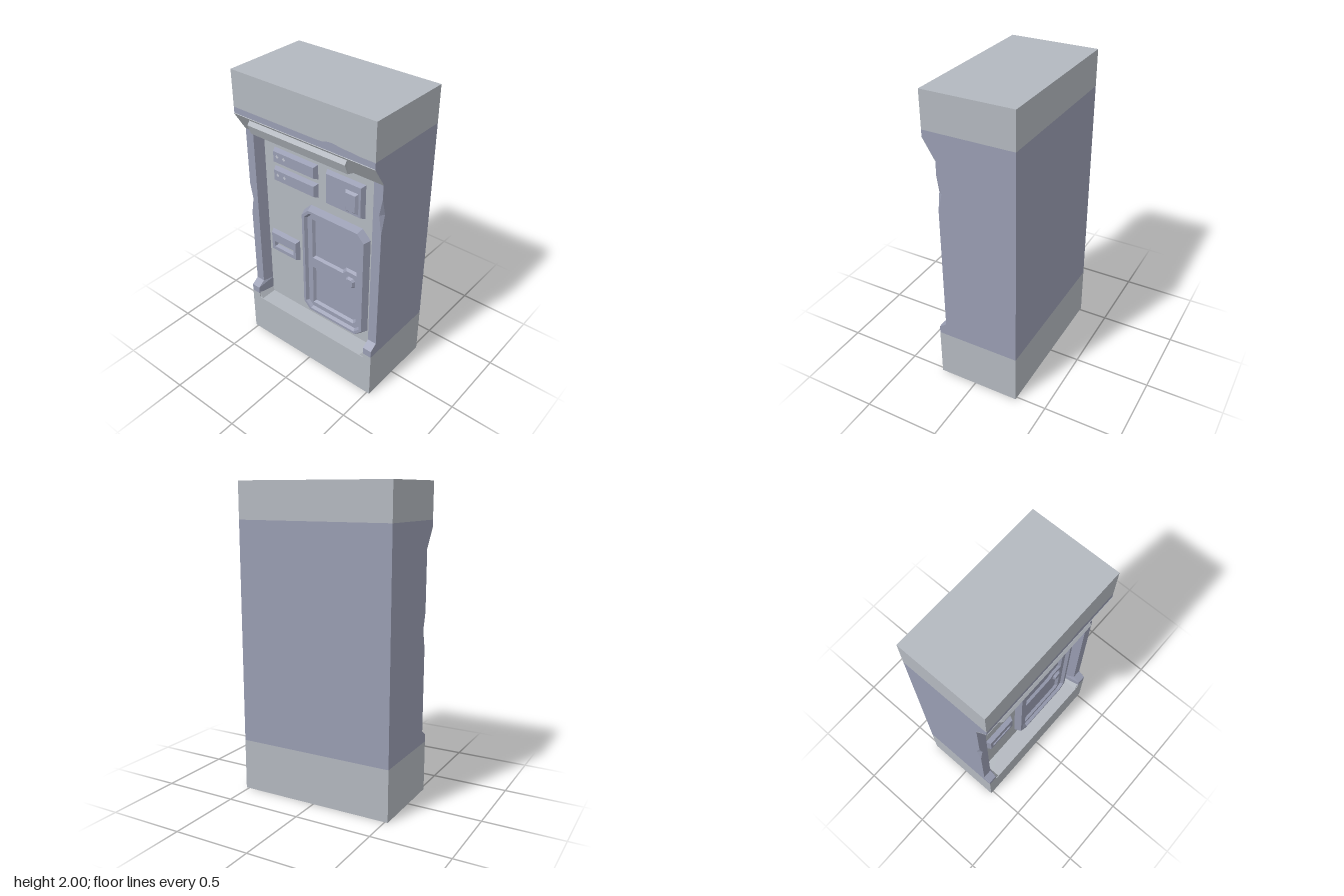
import * as THREE from 'three';

const mat = (name, color) => Object.assign(new THREE.MeshStandardMaterial({ color }), { name });

// Skin between successive loops of [x, y, z]; optionally close the last loop (planar in xy)
function loft(loops, cap = false, holes = []) {
  const p = [];
  for (let k = 0; k + 1 < loops.length; k++) {
    const a = loops[k], b = loops[k + 1];
    for (let i = 0; i < a.length; i++) {
      const j = (i + 1) % a.length;
      p.push(...a[i], ...a[j], ...b[j], ...a[i], ...b[j], ...b[i]);
    }
  }
  if (cap) {
    const last = loops[loops.length - 1];
    const v2 = (l) => l.map(([x, y]) => new THREE.Vector2(x, y));
    const shape = new THREE.Shape(v2(last));
    holes.forEach((h) => shape.holes.push(new THREE.Path(v2(h))));
    const g = new THREE.ShapeGeometry(shape).toNonIndexed();
    const q = g.attributes.position;
    for (let i = 0; i < q.count; i++) p.push(q.getX(i), q.getY(i), last[0][2]);
  }
  const g = new THREE.BufferGeometry();
  g.setAttribute('position', new THREE.Float32BufferAttribute(p, 3));
  g.computeVertexNormals();
  return g;
}

// Counter-clockwise outlines in the front plane
const rect = (x0, x1, y0, y1, z, d = 0) =>
  [[x0 + d, y0 + d, z], [x1 - d, y0 + d, z], [x1 - d, y1 - d, z], [x0 + d, y1 - d, z]];
function octagon(x0, x1, y0, y1, c, z, d = 0) {
  x0 += d; x1 -= d; y0 += d; y1 -= d; c -= d * 0.5;
  return [[x0 + c, y0], [x1 - c, y0], [x1, y0 + c], [x1, y1 - c],
    [x1 - c, y1], [x0 + c, y1], [x0, y1 - c], [x0, y0 + c]].map(([x, y]) => [x, y, z]);
}

export function createModel() {
  const grey = mat('lightGrey', 0xb3b8bf);
  const blue = mat('blueGrey', 0x999db2);
  const pale = mat('paleMark', 0xc0c4d0);
  const root = new THREE.Group();
  const add = (name, geo, m) => {
    const mesh = new THREE.Mesh(geo, m);
    mesh.name = name;
    root.add(mesh);
    return mesh;
  };
  const box = (name, x0, x1, y0, y1, z0, z1, m) =>
    add(name, new THREE.BoxGeometry(x1 - x0, y1 - y0, z1 - z0), m)
      .position.set((x0 + x1) / 2, (y0 + y1) / 2, (z0 + z1) / 2);
  // Side profile of [z, y] points swept from x0 to x1
  const sweep = (name, pts, x0, x1, m) => {
    const s = new THREE.Shape(pts.map(([z, y]) => new THREE.Vector2(-z, y)));
    const g = new THREE.ExtrudeGeometry(s, { depth: x1 - x0, bevelEnabled: false });
    g.rotateY(Math.PI / 2).translate(x0, 0, 0);
    return add(name, g, m);
  };
  const W = 0.52, P = 0.135;

  // Main masses
  box('base', -W, W, 0, 0.3, -0.3, 0.255, grey);
  box('baseRear', -W, W, 0.3, 0.335, -0.3, 0.13, grey);
  box('midBody', -W, W, 0.335, 1.765, -0.3, 0.13, blue);
  box('topBlock', -W, W, 1.765, 2, -0.3, 0.285, grey);
  box('frontPanel', -0.437, 0.437, 0.3, 1.575, 0.128, P, grey);

  // Overhanging header with a grey sloped underside
  sweep('header', [[0.13, 1.57], [0.205, 1.595], [0.285, 1.725], [0.285, 1.765], [0.13, 1.765]], -W, W, blue);
  sweep('headerSlope', [[0.203, 1.597], [0.207, 1.594], [0.288, 1.724], [0.284, 1.727]], -W, W, grey);
  const worn = new THREE.Shape([[0.1, 1.764], [0.44, 1.764], [0.36, 1.771], [0.3, 1.773], [0.23, 1.782], [0.19, 1.778], [0.16, 1.768]]
    .map(([x, y]) => new THREE.Vector2(x, y)));
  add('wornEdge', new THREE.ShapeGeometry(worn), blue).position.z = 0.286;

  // Lamp bar hanging below the header
  const lamp = sweep('lampBar', [[0.215, 1.61], [0.272, 1.62], [0.297, 1.685], [0.275, 1.715]], -0.42, 0.34, grey);
  const lp = lamp.geometry.attributes.position;
  for (let i = 0; i < lp.count; i++)
    if (lp.getZ(i) > 0.25) lp.setX(i, lp.getX(i) + (lp.getX(i) < 0 ? 0.017 : -0.012));
  lamp.geometry.computeVertexNormals();

  // Side posts with tapered inner walls and a chipped outer edge
  for (const [s, chipY] of [[1, 1.39], [-1, 1.09]]) {
    const rows = [[0.335, 0.255], [0.385, 0.255], [0.42, 0.205], [chipY - 0.12, 0.205],
      [chipY, 0.205, 0.02], [chipY + 0.11, 0.205], [1.6, 0.205]];
    const loops = rows.map(([y, z, c = 0.0005]) => {
      const l = [[0.435, 0.13], [0.458, z], [W - c, z], [W, z - c * 1.4], [W, 0.13]].map(([x, d]) => [s * x, y, d]);
      return s > 0 ? l : l.reverse();
    });
    const side = s > 0 ? 'left' : 'right';
    add(side + 'Post', loft(loops), blue);
    box(side + 'PostFoot', s > 0 ? 0.455 : -W, s > 0 ? W : -0.455, 0.3, 0.335, 0.13, 0.255, grey);
    // Chamfer filling the lower recess corner
    const tri = [[s * 0.43, 0.3], [s * 0.462, 0.3], [s * 0.458, 0.345]];
    if (s < 0) tri.reverse();
    add(side + 'CornerWedge', loft([0.13, 0.25].map((z) => tri.map(([x, y]) => [x, y, z])), true), grey);
  }

  // Raised control plates with bevelled rims
  const plate = (name, x0, x1, y0, y1, z, h, m = blue, b = 0.014) =>
    add(name, loft([rect(x0, x1, y0, y1, z), rect(x0, x1, y0, y1, z + h, b)], true), m);
  for (const y of [1.265, 1.395]) {
    plate('displayPlate', -0.35, 0, y, y + 0.1, P, 0.03);
    for (const x of [-0.305, -0.25])
      add('indicatorMark', new THREE.CircleGeometry(0.013, 4), pale).position.set(x, y + 0.055, P + 0.031);
  }
  plate('controlPlate', 0.07, 0.355, 1.265, 1.495, P, 0.03);
  plate('controlButton', 0.23, 0.325, 1.293, 1.437, P + 0.03, 0.015);
  // Dispenser with a sunken slot
  const slot = (z, d) => rect(-0.365, -0.2, 0.742, 0.785, z, d);
  add('dispenserPlate', loft([rect(-0.402, -0.165, 0.703, 0.862, P), rect(-0.402, -0.165, 0.703, 0.862, P + 0.03, 0.014)],
    true, [slot(0, 0)]), blue);
  add('dispenserSlotWall', loft([slot(P + 0.03, 0), slot(P + 0.008, 0.01)]), blue);
  add('dispenserSlot', loft([slot(P + 0.008, 0.01)], true), grey);

  // Door: raised frame, sunken leaf and two deeper insets notched around the latch
  const frame = (z, d) => octagon(-0.12, 0.4, 0.35, 1.19, 0.06, z, d);
  const F = P + 0.045, L = P + 0.025;
  const inset = (up, z, d) => {
    const pts = [[-0.035, 0.43], [-0.018, 0.43], [0.3, 0.43], [0.32, 0.45], [0.32, 0.7], [0.24, 0.7], [0.215, 0.73], [-0.035, 0.73]];
    const cx = 0.1425, cy = 0.58;
    const l = pts.map(([x, y], i) => {
      const nx = x + (x < cx ? d : -d);
      const ny = y + (y < cy ? d : -d);
      return [nx, up ? 1.535 - ny : ny, z];
    });
    return up ? l.reverse() : l;
  };
  add('doorFrame', loft([frame(P, 0), frame(F, 0.018), frame(F, 0.036), frame(L, 0.048)], true,
    [inset(false, L, 0), inset(true, L, 0)]), blue);
  for (const up of [false, true])
    add(up ? 'upperDoorInset' : 'lowerDoorInset', loft([inset(up, L, 0), inset(up, P + 0.007, 0.012)], true), blue);
  const knob = (z, d) => octagon(0.242, 0.312, 0.728, 0.803, 0.016, z, d);
  add('doorLatch', loft([knob(L, 0), knob(L + 0.018, 0.01)], true), blue);

  return root;
}
